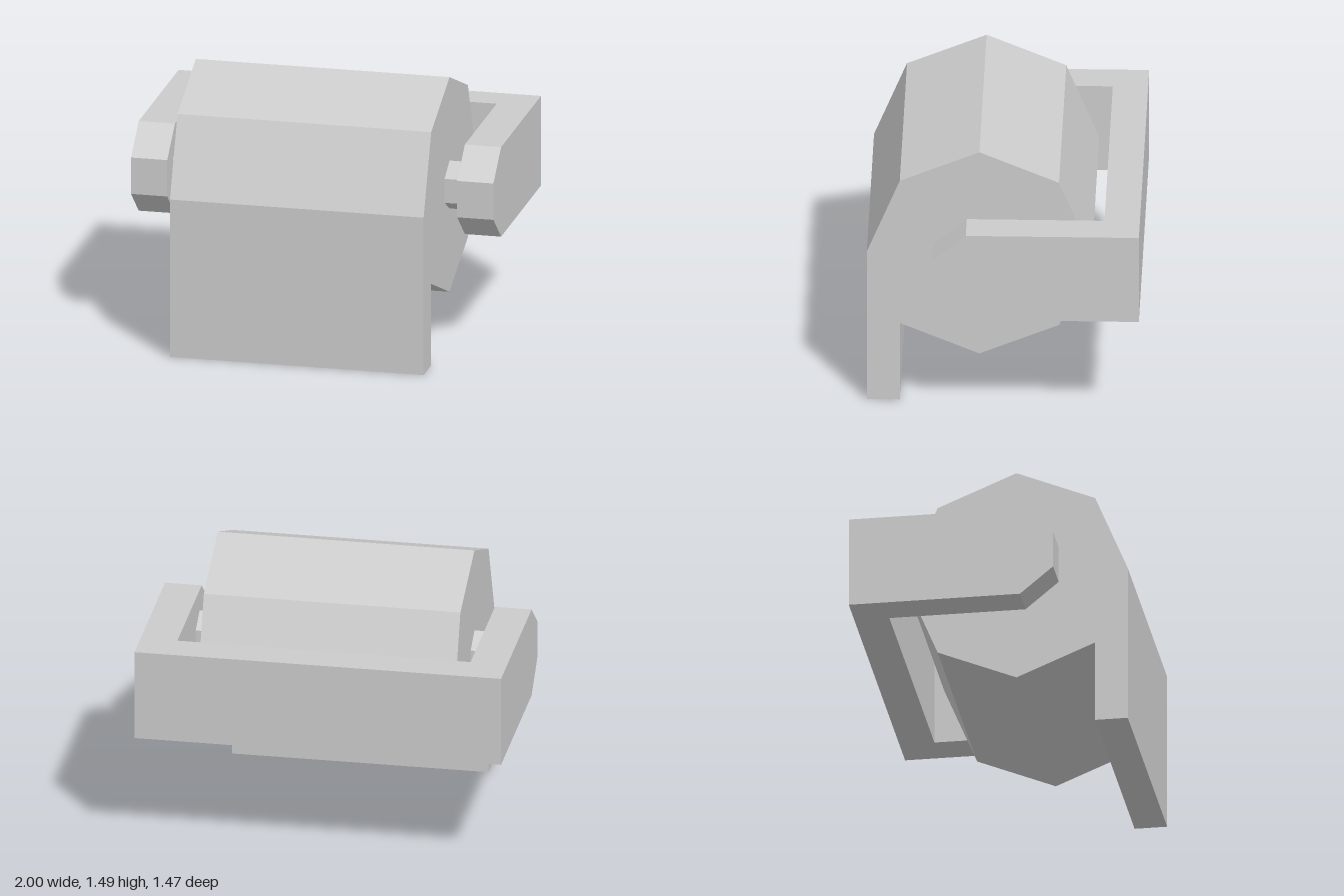
import * as THREE from 'three';

const material = new THREE.MeshStandardMaterial({ color: 0xcccccc, flatShading: true });

// Prism along x from a (z, y) outline, centred on the given x
function prism(name, outline, width, x = 0) {
  const shape = new THREE.Shape(outline.map(([z, y]) => new THREE.Vector2(z, y)));
  const geometry = new THREE.ExtrudeGeometry(shape, { depth: width, bevelEnabled: false });
  geometry.translate(0, 0, -width / 2).rotateY(-Math.PI / 2);
  const mesh = new THREE.Mesh(geometry, material);
  mesh.name = name;
  mesh.position.x = x;
  return mesh;
}

// Regular polygon around the roll axis, first corner straight up
const axisZ = 0.13, axisY = 0.887;
function polygon(sides, radius) {
  return Array.from({ length: sides }, (_, i) => {
    const a = (i / sides) * Math.PI * 2;
    return [axisZ + radius * Math.sin(a), axisY + radius * Math.cos(a)];
  });
}

export function createModel() {
  const model = new THREE.Group();
  model.name = 'rollHolder';

  // Eight-sided roll, with the loose sheet hanging from its front corner
  const corners = polygon(8, 0.605);
  const [front, lowerFront] = [corners[2], corners[3]];
  corners.splice(3, 0, [front[0], 0], [lowerFront[0], 0]);
  model.add(prism('paperRollWithSheet', corners, 1.4));

  // Hexagonal spindle stubs and chamfered arms on both sides
  const arm = [[-0.735, 0.635], [0.195, 0.635], [0.375, 0.785], [0.375, 0.99], [0.195, 1.14], [-0.735, 1.14]];
  for (const [side, s] of [['left', 1], ['right', -1]]) {
    model.add(prism(side + 'Spindle', polygon(6, 0.135), 0.1, s * 0.75));
    model.add(prism(side + 'Arm', arm, 0.2, s * 0.9));
  }

  // Back bar joining the arms
  const bar = [[-0.735, 0.635], [-0.545, 0.635], [-0.545, 1.14], [-0.735, 1.14]];
  model.add(prism('backBar', bar, 1.6));

  return model;
}
